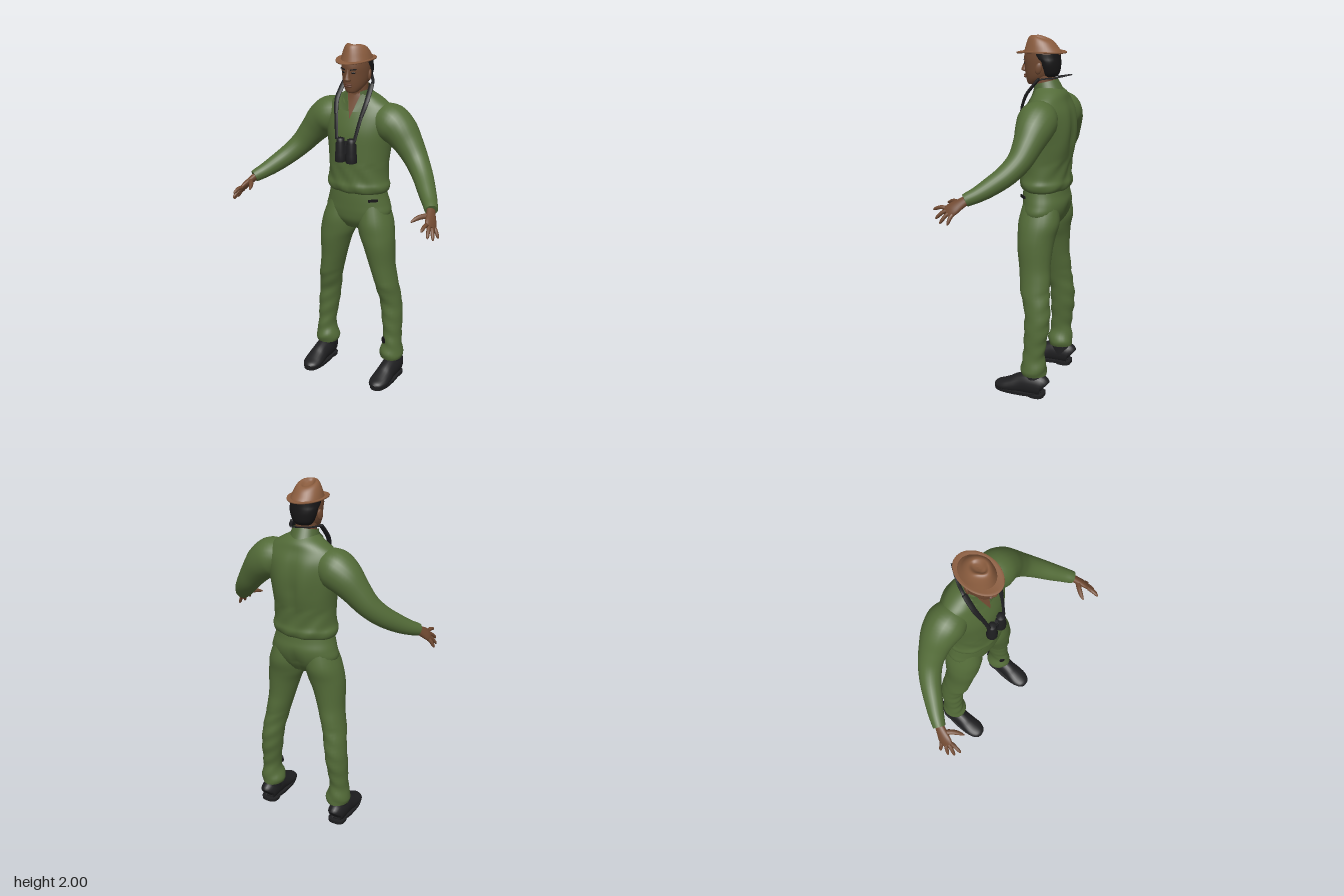
import * as THREE from 'three';

const mat = (name, color, side = THREE.FrontSide) =>
  Object.assign(new THREE.MeshStandardMaterial({ color, side }), { name });

// smooth in-between rings; a ring is [x, y, z, half width, half depth]
function sample(rings, sub = 5) {
  const out = [], at = i => rings[Math.min(Math.max(i, 0), rings.length - 1)];
  for (let i = 0; i < rings.length - 1; i++) {
    for (let k = 0; k < sub; k++) {
      const t = k / sub, [a, b, c, d] = [at(i - 1), at(i), at(i + 1), at(i + 2)];
      out.push(b.map((_, n) => 0.5 * (2 * b[n] + (c[n] - a[n]) * t + (2 * a[n] - 5 * b[n] + 4 * c[n] - d[n]) * t * t
        + (3 * b[n] - a[n] - 3 * c[n] + d[n]) * t * t * t)));
    }
  }
  out.push(rings[rings.length - 1]);
  return out;
}

// skin over elliptical rings, closed at both ends; flat keeps the rings level
function loft(rings, { wide = [1, 0, 0], flat = false, n = 24, sub = 5, pow = 1, warp } = {}) {
  let rows = sample(rings, sub);
  const first = rows[0], last = rows[rows.length - 1], pos = [], idx = [];
  const shut = r => [r[0], r[1], r[2], 0, 0];
  rows = [shut(first), first, ...rows, last, shut(last)];
  const P = i => new THREE.Vector3(...rows[Math.min(Math.max(i, 2), rows.length - 3)].slice(0, 3));
  const bend = c => Math.sign(c) * Math.abs(c) ** pow;
  rows.forEach((r, i) => {
    const t = flat ? new THREE.Vector3(0, Math.sign(last[1] - first[1]), 0)
      : P(Math.min(Math.max(i, 2), rows.length - 3) + 1).sub(P(Math.min(Math.max(i, 2), rows.length - 3) - 1)).normalize();
    const a = new THREE.Vector3(...wide);
    a.addScaledVector(t, -a.dot(t)).normalize();
    const b = t.clone().cross(a);
    for (let j = 0; j < n; j++) {
      const th = j / n * Math.PI * 2;
      const v = new THREE.Vector3(r[0], r[1], r[2])
        .addScaledVector(a, bend(Math.cos(th)) * r[3]).addScaledVector(b, bend(Math.sin(th)) * r[4]);
      if (warp) warp(v);
      pos.push(v.x, v.y, v.z);
      if (i < rows.length - 1) {
        const k = (j + 1) % n, p = i * n, q = p + n;
        idx.push(p + j, p + k, q + k, p + j, q + k, q + j);
      }
    }
  });
  return surface(pos, idx);
}

function surface(pos, idx) {
  const g = new THREE.BufferGeometry();
  g.setAttribute('position', new THREE.Float32BufferAttribute(pos, 3));
  g.setIndex(idx);
  g.computeVertexNormals();
  return g;
}

export function createModel() {
  const root = new THREE.Group();
  const green = mat('green cloth', 0x536b38), trim = mat('green collar', 0x4e6535, THREE.DoubleSide);
  const skin = mat('skin', 0x714a32, THREE.DoubleSide), felt = mat('brown felt', 0x8a5c3e, THREE.DoubleSide);
  const black = mat('black gear', 0x1f1f21), dark = mat('black hair', 0x171617), lip = mat('lips', 0x623c2c);
  const add = (name, geo, material, x = 0, y = 0, z = 0, parent = root) => {
    const m = new THREE.Mesh(geo, material);
    m.name = name;
    m.position.set(x, y, z);
    parent.add(m);
    return m;
  };
  const mirrorX = (rings, s) => rings.map(r => [r[0] * s, ...r.slice(1)]);

  // shirt body with spine hollow and soft folds
  const torso = [[0, 1.165, -.12, .165, .11], [0, 1.18, -.12, .184, .13], [0, 1.21, -.12, .191, .139], [0, 1.25, -.12, .18, .133],
    [0, 1.33, -.122, .179, .136], [0, 1.42, -.13, .188, .143], [0, 1.52, -.135, .203, .142], [0, 1.6, -.14, .208, .125],
    [0, 1.66, -.14, .185, .1], [0, 1.7, -.14, .13, .085], [0, 1.73, -.13, .078, .068], [0, 1.745, -.122, .066, .06]];
  add('shirtBody', loft(torso, {
    flat: true, n: 48, warp: v => {
      const fade = Math.max(0, 1 - Math.abs(v.y - 1.45) / .24);
      if (v.z < -.14) v.z += fade * (.016 * Math.exp(-((v.x / .03) ** 2)) + .004 * Math.sin(v.x * 45 + v.y * 9));
      if (v.y < 1.34) v.z += .003 * Math.sin(v.x * 60 + v.y * 50);
    }
  }), green);

  // depth of the shirt front at a point
  const rows = sample(torso);
  const frontZ = (x, y) => {
    const i = Math.max(1, rows.findIndex(r => r[1] >= y)), a = rows[i - 1], b = rows[i];
    const t = (y - a[1]) / (b[1] - a[1]), f = r => r[2] + r[4] * Math.sqrt(Math.max(0, 1 - (x / r[3]) ** 2));
    return f(a) * (1 - t) + f(b) * t;
  };

  // open neckline
  const vp = [], vi = [];
  for (let i = 0; i <= 12; i++) {
    const y = 1.6 + i * .0115, w = .001 + i * .0036;
    for (let j = 0; j <= 4; j++) {
      const x = w * (j / 2 - 1), p = i * 5 + j;
      vp.push(x, y, frontZ(x, y) + .004);
      if (i < 12 && j < 4) vi.push(p, p + 1, p + 6, p, p + 6, p + 5);
    }
  }
  add('openNeckline', surface(vp, vi), skin);

  // collar band and flaps
  const collar = add('collarBand', new THREE.CylinderGeometry(.068, .084, .06, 32, 1, true, .6, Math.PI * 2 - 1.2), trim, 0, 1.728, -.12);
  collar.rotation.x = .25;
  for (const s of [1, -1]) {
    const pts = [[.012, 1.635], [.045, 1.735], [.085, 1.71], [.07, 1.64]];
    const g = surface(pts.flatMap(([x, y], i) => [x * s, y, frontZ(x, y) + (i === 1 ? .012 : .008)]),
      s > 0 ? [0, 2, 1, 0, 3, 2] : [0, 1, 2, 0, 2, 3]);
    add('collarFlap', g, trim);
  }

  // trousers seat
  add('trouserSeat', loft([[0, .95, -.115, .09, .07], [0, 1, -.118, .165, .106], [0, 1.05, -.124, .2, .122],
    [0, 1.1, -.127, .19, .128], [0, 1.15, -.122, .176, .124], [0, 1.2, -.12, .165, .12]], {
    flat: true, n: 36, warp: v => { if (v.z < -.16) v.z += .02 * Math.exp(-((v.x / .025) ** 2)) * Math.max(0, 1 - Math.abs(v.y - 1.02) / .1); }
  }), green);

  for (const s of [1, -1]) {
    const side = new THREE.Group();
    side.name = s > 0 ? 'leftLimbs' : 'rightLimbs';
    root.add(side);
    const part = (name, rings, material, opt = {}) =>
      add(name, loft(mirrorX(rings, s), { ...opt, wide: opt.wide ? [opt.wide[0] * s, opt.wide[1], opt.wide[2]] : [1, 0, 0] }), material, 0, 0, 0, side);

    // trouser leg with gathered cuff
    part('trouserLeg', [[.1, 1.1, -.125, .075, .1], [.113, 1, -.12, .1, .116], [.126, .92, -.111, .104, .107], [.143, .85, -.108, .092, .1],
      [.159, .75, -.113, .077, .089], [.173, .68, -.12, .07, .087], [.19, .6, -.127, .066, .082], [.206, .5, -.147, .063, .073],
      [.217, .4, -.147, .061, .071], [.225, .3, -.14, .054, .063], [.228, .23, -.135, .054, .064], [.223, .175, -.134, .069, .074],
      [.222, .15, -.134, .072, .073], [.222, .128, -.135, .064, .069]], green, {
      flat: true, warp: v => { if (v.y < .62) v.z += .003 * Math.sin(v.y * 70 + v.x * 40 * s); }
    });

    // sleeve
    part('sleeve', [[.13, 1.59, -.14, .09, .09], [.19, 1.572, -.14, .108, .108], [.25, 1.532, -.14, .1, .098], [.31, 1.465, -.13, .08, .08],
      [.37, 1.39, -.108, .066, .066], [.43, 1.325, -.06, .058, .057], [.49, 1.268, .01, .05, .049], [.53, 1.235, .06, .042, .042],
      [.555, 1.217, .096, .037, .037], [.566, 1.209, .112, .034, .034]], green, { wide: [0, 1, 1] });

    // hand, fingers and thumb
    const span = [.37, -.44, -.81];
    part('palm', [[.555, 1.218, .095, .025, .02], [.575, 1.19, .135, .031, .019], [.592, 1.165, .17, .039, .017],
      [.602, 1.146, .196, .036, .012]], skin, { wide: span });
    const tips = [[.59, 1.15, .28], [.615, 1.11, .257], [.632, 1.092, .225], [.64, 1.09, .178]];
    tips.forEach((tip, i) => {
      const k = (i - 1.5) * .02, base = [.598 + span[0] * k, 1.152 + span[1] * k, .188 + span[2] * k];
      const on = (t, r) => [...base.map((b, n) => b + (tip[n] - b) * t + (n === 1 ? .008 * Math.sin(t * Math.PI) : 0)), r, r];
      part('finger', [on(0, .0115), on(.4, .0105), on(.85, .0085), on(1, .003)], skin, { wide: span, n: 10, sub: 3 });
    });
    part('thumb', [[.575, 1.19, .145, .016, .016], [.543, 1.192, .178, .014, .014], [.522, 1.184, .21, .011, .011],
      [.51, 1.174, .236, .004, .004]], skin, { wide: [0, 1, 0], n: 10, sub: 3 });

    // boot, ankle, sole and heel
    part('shoe', [[.232, .06, -.201, .03, .04], [.232, .068, -.185, .047, .062], [.232, .07, -.12, .052, .068], [.232, .062, -.06, .051, .06],
      [.232, .048, -.01, .056, .047], [.23, .038, .04, .057, .034], [.226, .033, .08, .042, .024], [.224, .03, .098, .018, .012]],
      black, { warp: v => { v.y = Math.max(v.y, .012); } });
    part('shoeAnkle', [[.23, .06, -.135, .05, .066], [.226, .12, -.137, .048, .06], [.226, .165, -.138, .045, .056]], black, { flat: true });
    part('sole', [[.231, .008, -.04, .057, .138], [.231, .026, -.04, .06, .141]], black, { flat: true, pow: .8, sub: 1 });
    part('heel', [[.231, 0, -.155, .05, .046], [.231, .02, -.155, .052, .047]], black, { flat: true, pow: .7, sub: 1 });

    // carrying strap, padded beside the neck
    part('strap', [[.055, 1.485, .032, .01, .004], [.073, 1.59, .006, .011, .004], [.09, 1.69, -.034, .011, .004], [.088, 1.77, -.1, .01, .004],
      [.055, 1.782, -.175, .009, .004], [.003, 1.8, -.255, .008, .004]], black, { n: 8 });
    part('strapPad', [[.079, 1.62, -.003, .012, .007], [.092, 1.69, -.033, .015, .008], [.09, 1.745, -.075, .016, .008],
      [.086, 1.78, -.105, .015, .008]], black, { n: 10 });

    // binocular barrel
    const barrel = [[0, 0], [.024, 0], [.031, .003], [.031, .045], [.027, .06], [.027, .105], [.021, .112], [.023, .134], [0, .134]]
      .map(p => new THREE.Vector2(...p));
    add('binocularBarrel', new THREE.LatheGeometry(barrel, 24), black, .035 * s, 1.36, .027, side);

    // ear, eye and brow
    const ear = add('ear', new THREE.SphereGeometry(1, 14, 10), skin, .077 * s, 1.833, -.098, side);
    ear.scale.set(.009, .031, .019);
    ear.rotation.set(-.2, .3 * s, 0);
    const eye = add('eye', new THREE.SphereGeometry(1, 12, 8), dark, .03 * s, 1.854, -.001, side);
    eye.scale.set(.013, .005, .005);
    eye.rotation.y = .35 * s;
    const brow = add('eyebrow', new THREE.BoxGeometry(.034, .006, .008), dark, .031 * s, 1.872, .002, side);
    brow.rotation.set(0, .4 * s, .12 * s);
  }
  add('binocularBridge', new THREE.BoxGeometry(.04, .05, .022), black, 0, 1.435, .027);
  add('focusWheel', new THREE.CylinderGeometry(.01, .01, .03, 14), black, 0, 1.465, .027);

  // neck, head, nose and mouth
  add('neck', loft([[0, 1.64, -.12, .07, .065], [0, 1.71, -.115, .058, .057], [0, 1.76, -.108, .056, .056], [0, 1.82, -.105, .058, .06]], { flat: true }), skin);
  add('head', loft([[0, 1.739, -.035, .016, .016], [0, 1.746, -.043, .034, .034], [0, 1.77, -.066, .054, .064], [0, 1.8, -.082, .066, .085],
    [0, 1.84, -.09, .073, .097], [0, 1.88, -.09, .076, .101], [0, 1.92, -.093, .075, .099]], { flat: true, n: 32 }), skin);
  add('nose', loft([[0, 1.807, .002, .013, .009], [0, 1.815, .01, .019, .02], [0, 1.83, .009, .013, .017], [0, 1.85, .006, .009, .011],
    [0, 1.872, .002, .009, .009]], { flat: true, n: 14 }), skin);
  for (const [y, h] of [[1.79, .005], [1.78, .007]])
    add('lip', new THREE.SphereGeometry(1, 14, 8), lip, 0, y, .002).scale.set(.024, h, .01);

  // cropped hair
  add('hair', loft([[0, 1.785, -.135, .045, .036], [0, 1.805, -.138, .06, .049], [0, 1.84, -.136, .073, .057], [0, 1.868, -.132, .078, .061],
    [0, 1.89, -.115, .08, .077], [0, 1.92, -.108, .08, .083]], { flat: true, n: 28 }), dark);

  // hat crown: sloping back, pinched in front, creased on top
  add('hatCrown', loft([[0, 1.91, -.095, .085, .106], [0, 1.93, -.094, .081, .1], [0, 1.96, -.09, .073, .088], [0, 1.985, -.087, .062, .076],
    [0, 1.998, -.085, .05, .063], [0, 1.999, -.083, .038, .05], [0, 1.985, -.082, .02, .034], [0, 1.98, -.082, .004, .01]], {
    flat: true, n: 36, warp: v => {
      const h = Math.max(0, v.y - 1.915);
      v.y -= h * .42 * Math.min(1, Math.max(0, (-.06 - v.z) / .12));
      if (v.z > -.08) v.x *= 1 - Math.min(1, (v.z + .08) / .08) * h * 3;
    }
  }), felt);

  // hat brim, a thin oval with gently turned sides
  const brim = new THREE.LatheGeometry([[.6, .003], [.9, .004], [1, .004], [1.01, 0], [1, -.004], [.9, -.004], [.6, -.003]]
    .reverse().map(p => new THREE.Vector2(...p)), 48);
  const bp = brim.attributes.position;
  for (let i = 0; i < bp.count; i++) {
    const x = bp.getX(i), z = bp.getZ(i);
    bp.setXYZ(i, x * .1, bp.getY(i) + .008 * x * x - .004 * z * Math.abs(z), z * .139);
  }
  brim.computeVertexNormals();
  add('hatBrim', brim, felt, 0, 1.911, -.086);

  // belt clip and ankle patch on the left side
  add('beltClip', new THREE.BoxGeometry(.055, .014, .009), dark, .14, 1.138, -.034).rotation.y = .75;
  const patch = add('anklePatch', new THREE.CylinderGeometry(.017, .017, .009, 12), dark, .196, .25, -.083);
  patch.rotation.set(Math.PI / 2, 0, .5);
  patch.scale.z = 1.3;
  return root;
}
